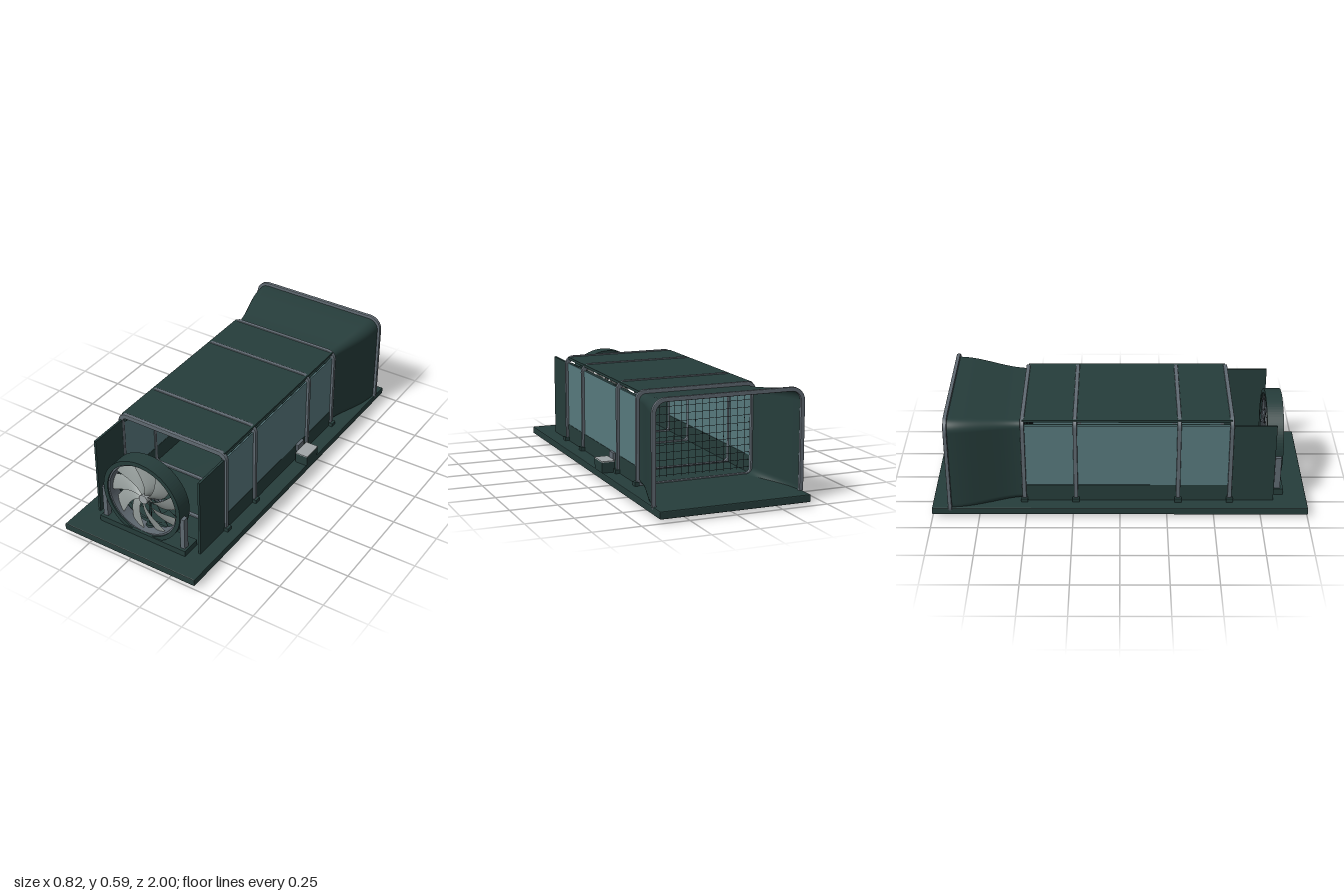
import * as THREE from 'three';

const mat = (name, color, side = THREE.FrontSide) => {
  const m = new THREE.MeshStandardMaterial({ color, side });
  m.name = name;
  return m;
};

// Rounded rectangle from (-hw, y0) to (hw, y1)
function roundedRect(Cls, hw, y0, y1, r) {
  const s = new Cls();
  s.moveTo(hw - r, y0);
  s.absarc(hw - r, y0 + r, r, -Math.PI / 2, 0, false);
  s.absarc(hw - r, y1 - r, r, 0, Math.PI / 2, false);
  s.absarc(-hw + r, y1 - r, r, Math.PI / 2, Math.PI, false);
  s.absarc(-hw + r, y0 + r, r, Math.PI, Math.PI * 1.5, false);
  s.closePath();
  return s;
}

// Flat hoop with softened edges, centred on z = 0
function hoop(hw, y0, y1, r, t, depth) {
  const b = 0.004;
  const s = roundedRect(THREE.Shape, hw - b, y0 + b, y1 - b, r - b);
  s.holes.push(roundedRect(THREE.Path, hw - t + b, y0 + t - b, y1 - t + b, r - t + b));
  const g = new THREE.ExtrudeGeometry(s, {
    depth: depth - 2 * b, bevelThickness: b, bevelSize: b, bevelSegments: 2, curveSegments: 10,
  });
  return g.translate(0, 0, -depth / 2 + b);
}

// Indexed surface from fn(u, v) -> [x, y, z]
function surface(nu, nv, fn) {
  const pos = [], idx = [];
  for (let i = 0; i <= nu; i++) for (let j = 0; j <= nv; j++) pos.push(...fn(i / nu, j / nv));
  for (let i = 0; i < nu; i++) for (let j = 0; j < nv; j++) {
    const a = i * (nv + 1) + j, b = a + nv + 1;
    idx.push(a, b, a + 1, b, b + 1, a + 1);
  }
  const g = new THREE.BufferGeometry();
  g.setAttribute('position', new THREE.Float32BufferAttribute(pos, 3));
  g.setIndex(idx);
  g.computeVertexNormals();
  return g;
}

export function createModel() {
  const root = new THREE.Group();
  root.name = 'windTunnel';
  const body = mat('dark green', 0x263d3b);
  const shell = mat('dark green shell', 0x263d3b, THREE.DoubleSide);
  const steel = mat('steel grey', 0x606a72);
  const bladeMat = mat('blade grey', 0x949c9a, THREE.DoubleSide);
  const light = mat('light grey', 0xa0a6a8);
  const glass = mat('glass teal', 0x587a7e);
  const wire = mat('wire', 0x2a3236);

  const add = (name, geo, m, x = 0, y = 0, z = 0, parent = root) => {
    const o = new THREE.Mesh(geo, m);
    o.name = name;
    o.position.set(x, y, z);
    parent.add(o);
    return o;
  };
  // Box given by its limits
  const box = (name, m, x0, x1, y0, y1, z0, z1, parent = root) =>
    add(name, new THREE.BoxGeometry(x1 - x0, y1 - y0, z1 - z0), m,
      (x0 + x1) / 2, (y0 + y1) / 2, (z0 + z1) / 2, parent);

  // Base plate with softened rim
  const plate = new THREE.Shape();
  plate.moveTo(-0.4, -0.995).lineTo(0.4, -0.995).lineTo(0.4, 0.995).lineTo(-0.4, 0.995).closePath();
  const plateGeo = new THREE.ExtrudeGeometry(plate, {
    depth: 0.03, bevelThickness: 0.005, bevelSize: 0.005, bevelSegments: 2,
  }).rotateX(-Math.PI / 2);
  add('basePlate', plateGeo, body, 0, 0.025, 0);

  // Hoops around the test section, with feet
  const frameZ = [0.585, 0.31, -0.235, -0.51];
  for (const z of frameZ) {
    add('sectionFrame', hoop(0.335, 0.042, 0.555, 0.05, 0.026, 0.022), steel, 0, 0, z);
    for (const s of [-1, 1])
      add('frameFoot', new THREE.BoxGeometry(0.025, 0.022, 0.036), body, s * 0.334, 0.07, z);
  }

  // Side walls, windows and inner rails
  for (const s of [-1, 1]) {
    const side = (name, m, y0, y1, z0, z1, t = 0.006) =>
      box(name, m, s * 0.317 - t, s * 0.317 + t, y0, y1, z0, z1);
    side('frontSideWall', body, 0.06, 0.515, 0.585, 0.82);
    side('lowerSidePanel', body, 0.06, 0.155, -0.51, 0.585);
    side('window', glass, 0.155, 0.515, -0.51, 0.585, 0.004);
    box('upperRail', body, s * 0.302 - 0.007, s * 0.302 + 0.007, 0.505, 0.513, -0.51, 0.585);
  }
  box('roofPanel', body, -0.318, 0.318, 0.535, 0.549, -0.51, 0.585);

  // Flared intake, lofted between two rounded rectangles
  const steps = 48;
  const ringAt = (hw, y0, y1, r) => {
    const pts = [];
    for (let c = 0; c < 4; c++) {
      const cx = (c === 0 || c === 3 ? 1 : -1) * (hw - r), cy = c < 2 ? y1 - r : y0 + r;
      for (let k = 0; k < steps / 4; k++) {
        const a = (c + k / (steps / 4 - 1)) * Math.PI / 2;
        pts.push([cx + r * Math.cos(a), cy + r * Math.sin(a)]);
      }
    }
    return pts;
  };
  const intake = surface(16, steps, (u, v) => {
    const e = u * u * (3 - 2 * u);
    const p = ringAt(0.318 + 0.078 * e, 0.062 - 0.042 * e, 0.535 + 0.04 * e, 0.035 + 0.025 * e);
    const [x, y] = p[Math.round(v * steps) % steps];
    return [x, y, -0.505 - 0.395 * u];
  });
  add('flaredIntake', intake, shell);
  add('intakeFlange', hoop(0.411, 0, 0.592, 0.075, 0.022, 0.02), steel, 0, 0, -0.903);

  // Wire screen at the narrow end of the intake
  const screen = new THREE.Group();
  screen.name = 'wireScreen';
  root.add(screen);
  for (let i = 0; i <= 14; i++)
    box('screenUpright', wire, -0.281 + i * 0.04, -0.279 + i * 0.04, 0.085, 0.51, -0.501, -0.499, screen);
  for (let i = 0; i <= 10; i++)
    box('screenCrosswire', wire, -0.308, 0.308, 0.094 + i * 0.04, 0.096 + i * 0.04, -0.501, -0.499, screen);

  // Fan pedestal and side brackets
  box('fanPedestal', body, -0.267, 0.267, 0.06, 0.093, 0.768, 0.878);
  for (const s of [-1, 1])
    box('fanBracket', steel, s * 0.242 - 0.013, s * 0.242 + 0.013, 0.09, 0.28, 0.83, 0.862);

  // Fan assembly
  const fan = new THREE.Group();
  fan.name = 'fan';
  fan.position.set(0, 0.298, 0.825);
  root.add(fan);
  const ring = (name, m, ri, ro, d, z = 0) => {
    const s = new THREE.Shape().absarc(0, 0, ro, 0, Math.PI * 2, false);
    s.holes.push(new THREE.Path().absarc(0, 0, ri, 0, Math.PI * 2, true));
    const g = new THREE.ExtrudeGeometry(s, { depth: d, bevelEnabled: false, curveSegments: 48 });
    add(name, g, m, 0, 0, z - d / 2, fan);
  };
  ring('fanHousing', body, 0.212, 0.236, 0.088, 0.002);
  ring('innerFanRing', steel, 0.204, 0.213, 0.07, 0.002);

  // Swept, twisted blades
  const bladeGeo = surface(14, 8, (u, v) => {
    const r = 0.02 + 0.182 * u, k = v - 0.5;
    const width = 0.022 + 0.068 * Math.sin(Math.min(1, u * 1.15) * Math.PI / 2);
    const a = THREE.MathUtils.degToRad(94 - 46 * Math.pow(1 - u, 1.3)) + k * Math.min(1.6, width / r);
    return [r * Math.cos(a), r * Math.sin(a), k * (0.038 - 0.014 * u) + 0.012 * (0.25 - k * k)];
  });
  for (let i = 0; i < 9; i++)
    add('fanBlade', bladeGeo, bladeMat, 0, 0, 0.005, fan).rotation.z = i * Math.PI * 2 / 9;
  add('fanHub', new THREE.CylinderGeometry(0.026, 0.026, 0.05, 28).rotateX(Math.PI / 2), light, 0, 0, 0.006, fan);

  // Rear guard and motor support
  for (const r of [0.07, 0.125, 0.18])
    add('guardRing', new THREE.TorusGeometry(r, 0.0012, 5, 48), wire, 0, 0, -0.036, fan);
  for (let i = 0; i < 6; i++)
    add('guardSpoke', new THREE.BoxGeometry(0.42, 0.002, 0.002), wire, 0, 0, -0.036, fan).rotation.z = i * Math.PI / 6;
  add('motorStrut', new THREE.CylinderGeometry(0.006, 0.006, 0.2, 12), body, 0, -0.1, -0.026, fan);
  add('strutFoot', new THREE.CylinderGeometry(0.022, 0.026, 0.012, 20), body, 0, -0.199, -0.026, fan);

  // Control box on the left side
  box('controlBox', body, 0.336, 0.408, 0.06, 0.117, -0.215, -0.1);
  box('controlBoxLid', light, 0.335, 0.409, 0.117, 0.123, -0.216, -0.099);
  box('switchBlock', steel, 0.315, 0.336, 0.117, 0.157, -0.187, -0.123);

  return root;
}
